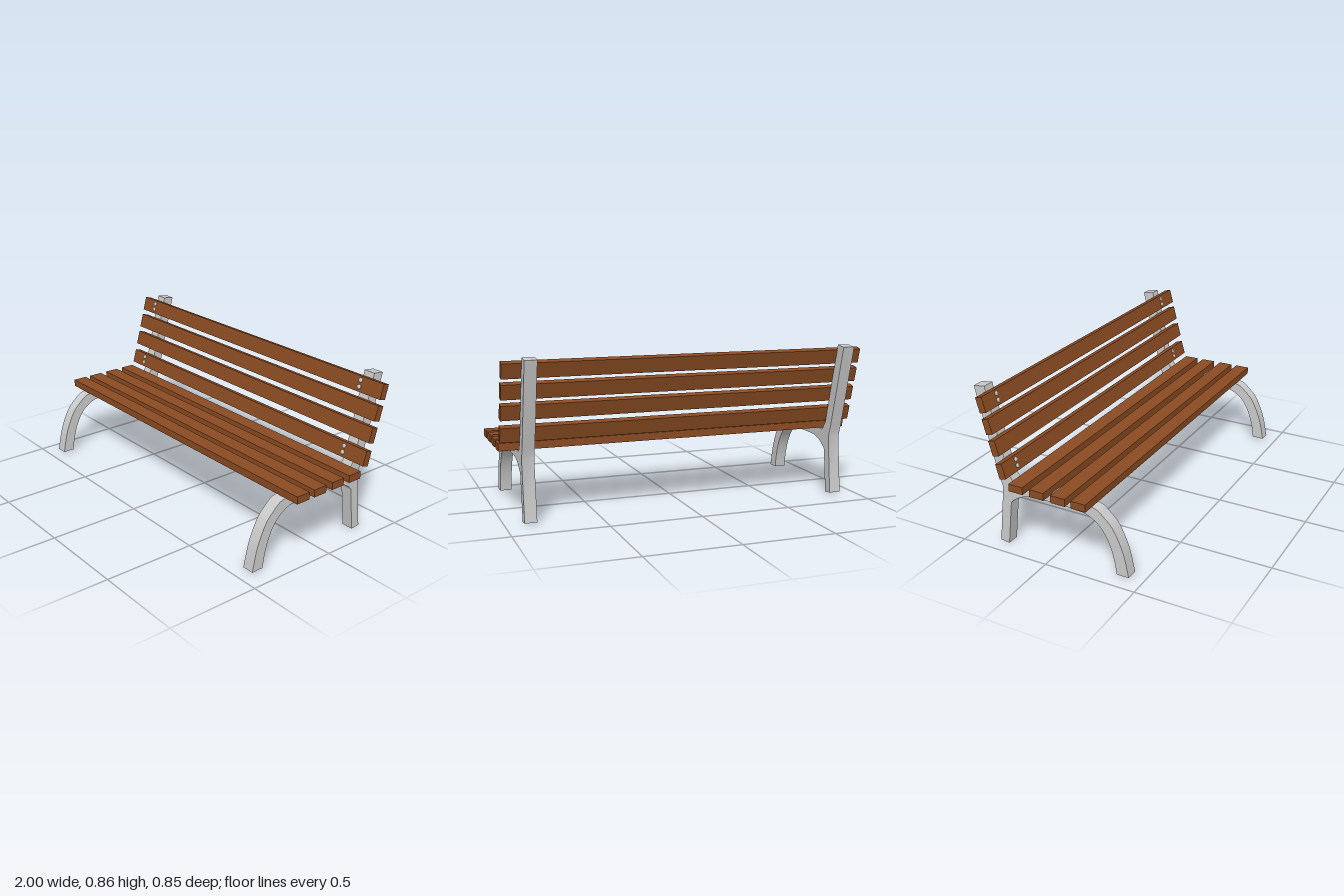
import * as THREE from 'three';
import { toCreasedNormals } from 'three/addons/utils/BufferGeometryUtils.js';

const FRAME_WIDTH = 0.065;
const SLAT_HEIGHT = 0.081;
const SLAT_DEPTH = 0.038;
const BACK_TILT = -0.275;
const FRAME_X = [-0.888, 0.868];

const vectors = (points) => points.map(([z, y]) => new THREE.Vector2(z, y));

// Side outline of one cast support, drawn as (z, y) and extruded across x
function frameGeometry() {
  const s = new THREE.Shape();
  s.moveTo(0.427, 0.008);
  // upper edge: front leg sweeping into the seat rail
  s.splineThru(vectors([
    [0.402, 0.12], [0.371, 0.202], [0.335, 0.266], [0.294, 0.307], [0.262, 0.334],
    [0.232, 0.346], [0.198, 0.352], [0.1, 0.356], [0.06, 0.362], [-0.008, 0.366],
    [-0.11, 0.364], [-0.15, 0.36], [-0.218, 0.356],
  ]));
  // back upright and rear leg
  s.lineTo(-0.253, 0.406);
  s.lineTo(-0.363, 0.855);
  s.lineTo(-0.426, 0.847);
  s.lineTo(-0.312, 0.392);
  s.lineTo(-0.29, 0.323);
  s.lineTo(-0.325, 0.006);
  s.lineTo(-0.274, 0);
  s.lineTo(-0.246, 0.243);
  // lower edge back to the front foot
  s.splineThru(vectors([
    [-0.23, 0.261], [-0.19, 0.287], [-0.15, 0.302], [-0.1, 0.31], [0.06, 0.312],
    [0.104, 0.308], [0.18, 0.302], [0.22, 0.287], [0.262, 0.259], [0.298, 0.214],
    [0.328, 0.152], [0.349, 0.08], [0.361, 0.009],
  ]));
  s.closePath();
  const g = new THREE.ExtrudeGeometry(s, { depth: FRAME_WIDTH, bevelEnabled: false, curveSegments: 40 });
  g.translate(0, 0, -FRAME_WIDTH / 2);
  g.rotateY(-Math.PI / 2);
  return toCreasedNormals(g, 0.5);
}

export function createModel() {
  const wood = new THREE.MeshStandardMaterial({ name: 'brown wood', color: 0x8a4b22 });
  const metal = new THREE.MeshStandardMaterial({ name: 'light grey metal', color: 0xcbcbcb });
  const bench = new THREE.Group();
  bench.name = 'bench';

  const add = (parent, name, geometry, material, x, y, z) => {
    const mesh = new THREE.Mesh(geometry, material);
    mesh.name = name;
    mesh.position.set(x, y, z);
    parent.add(mesh);
    return mesh;
  };

  // Two supports
  const frame = frameGeometry();
  FRAME_X.forEach((x, i) => add(bench, i ? 'leftFrame' : 'rightFrame', frame, metal, x, 0, 0));

  // Seat slats
  const seatSlat = new THREE.BoxGeometry(2, 0.04, SLAT_HEIGHT);
  [0.2, 0.086, -0.036, -0.156].forEach((z, i) =>
    add(bench, `seatSlat${i + 1}`, seatSlat, wood, 0, 0.381, z));

  // Tilted back slats; the lowest and highest carry pairs of domed bolts
  const backSlat = new THREE.BoxGeometry(2, SLAT_HEIGHT, SLAT_DEPTH);
  const boltHead = new THREE.SphereGeometry(0.012, 12, 8).scale(1, 1, 0.5);
  [[0.457, -0.239], [0.575, -0.271], [0.684, -0.301], [0.792, -0.33]].forEach(([y, z], i) => {
    const slat = new THREE.Group();
    slat.name = `backSlat${i + 1}`;
    slat.position.set(0, y, z);
    slat.rotation.x = BACK_TILT;
    add(slat, 'slatBoard', backSlat, wood, 0, 0, 0);
    if (i === 0 || i === 3) {
      for (const x of [-0.889, 0.854]) {
        for (const dy of [-0.015, 0.019]) add(slat, 'bolt', boltHead, metal, x, dy, SLAT_DEPTH / 2);
      }
    }
    bench.add(slat);
  });

  return bench;
}
